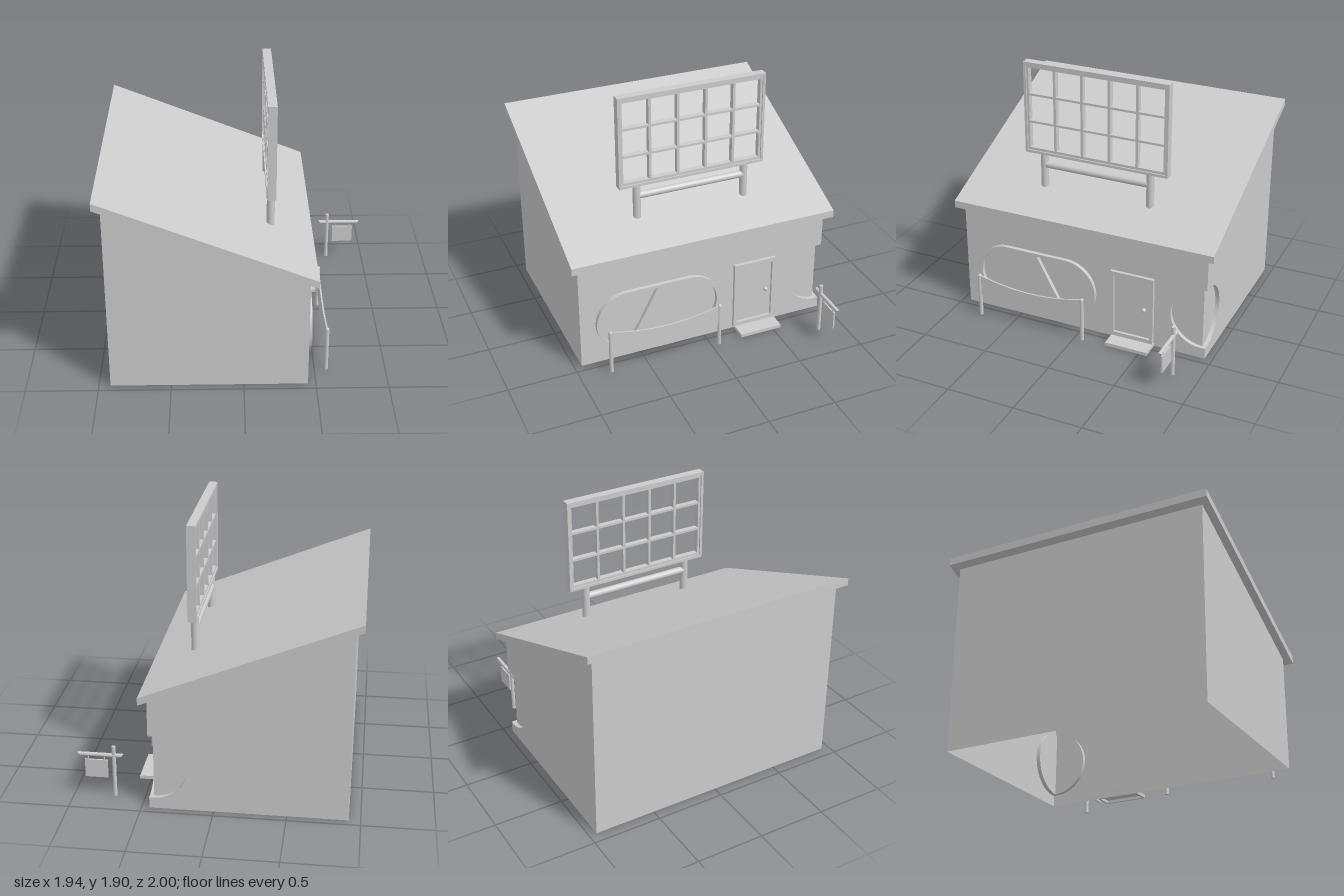
import * as THREE from 'three';
import { toCreasedNormals } from 'three/addons/utils/BufferGeometryUtils.js';

const grey = new THREE.MeshStandardMaterial({ color: 0xcccccc });
const thin = new THREE.MeshStandardMaterial({ color: 0xcccccc, side: THREE.DoubleSide });

function add(parent, name, geometry, x = 0, y = 0, z = 0, material = grey) {
  const mesh = new THREE.Mesh(geometry, material);
  mesh.name = name;
  mesh.position.set(x, y, z);
  parent.add(mesh);
  return mesh;
}

// Box given by its limits on each axis
function block(parent, name, x0, x1, y0, y1, z0, z1) {
  return add(parent, name, new THREE.BoxGeometry(x1 - x0, y1 - y0, z1 - z0),
    (x0 + x1) / 2, (y0 + y1) / 2, (z0 + z1) / 2);
}

function pole(parent, name, x, z, r, y0, y1) {
  return add(parent, name, new THREE.CylinderGeometry(r, r, y1 - y0, 20), x, (y0 + y1) / 2, z);
}

function extrude(shape, depth) {
  const g = new THREE.ExtrudeGeometry(shape, { depth, bevelEnabled: false, curveSegments: 32 });
  return toCreasedNormals(g, 0.5);
}

// Shapes drawn in (-z, y) and turned to face +x
const extrudeSide = (shape, depth) => extrude(shape, depth).rotateY(Math.PI / 2);
const panel = (shape) => new THREE.ShapeGeometry(shape, 32);
const panelSide = (shape) => panel(shape).rotateY(Math.PI / 2);

const polygon = (pts) => new THREE.Shape(pts.map((p) => new THREE.Vector2(p[0], p[1])));

function rect(u0, u1, y0, y1) {
  return polygon([[u0, y0], [u1, y0], [u1, y1], [u0, y1]]);
}

function stadium(cu, cy, half, r) {
  const s = new THREE.Shape();
  s.absarc(cu + half - r, cy, r, -Math.PI / 2, Math.PI / 2, false);
  s.absarc(cu - half + r, cy, r, Math.PI / 2, Math.PI * 1.5, false);
  s.closePath();
  return s;
}

// Half of a stadium, straight on the side towards the mullion
function halfStadium(u, cy, length, r, dir) {
  const s = new THREE.Shape();
  s.moveTo(u, cy - r);
  s.absarc(u + dir * (length - r), cy, r, -Math.PI / 2, dir > 0 ? Math.PI / 2 : -Math.PI * 1.5, dir < 0);
  s.lineTo(u, cy + r);
  s.closePath();
  return s;
}

function framed(outer, ...holes) {
  outer.holes.push(...holes);
  return outer;
}

const winY = 0.315, winR = 0.235;

// Wall outline with a half-round bite at its right-hand edge
function notchedWall(u0, u1, centre, top0, top1) {
  const s = new THREE.Shape();
  s.moveTo(u0, 0);
  s.lineTo(u1, 0);
  s.lineTo(u1, winY - winR);
  s.lineTo(centre, winY - winR);
  s.absarc(centre, winY, winR, -Math.PI / 2, Math.PI / 2, true);
  s.lineTo(u1, winY + winR);
  s.lineTo(u1, top1);
  s.lineTo(u0, top0);
  s.closePath();
  return s;
}

function buildHouse() {
  const g = new THREE.Group();
  g.name = 'house';

  // Hollow shell of thin walls, open underneath
  const gable = polygon([[-0.92, 0], [0.445, 0], [0.445, 0.835], [-0.92, 1.385]]);
  add(g, 'frontWall', panel(gable), 0, 0, 0.945, thin);
  add(g, 'highWall', panelSide(rect(-0.945, 0.945, 0, 1.385)), -0.92, 0, 0, thin);
  add(g, 'entranceWall', panelSide(notchedWall(-0.945, 0.945, 0.915, 0.835, 0.835)), 0.445, 0, 0, thin);
  add(g, 'backWall', panel(notchedWall(-0.92, 0.445, 0.415, 1.385, 0.835)), 0, 0, -0.945, thin);

  // Recessed window wrapping around the corner
  const pane = new THREE.Shape();
  pane.absarc(0, 0, winR, Math.PI / 2, Math.PI * 1.5, false);
  pane.closePath();
  add(g, 'cornerPaneSide', panelSide(pane), 0.415, winY, -0.915, thin);
  add(g, 'cornerPaneBack', panel(pane), 0.415, winY, -0.915, thin);
  const rim = () => new THREE.CylinderGeometry(winR, winR, 0.03, 40, 1, true, 0, Math.PI);
  add(g, 'cornerRimSide', rim().rotateY(-Math.PI / 2).rotateZ(Math.PI / 2), 0.43, winY, -0.915, thin);
  add(g, 'cornerRimBack', rim().rotateX(Math.PI / 2).rotateZ(Math.PI), 0.415, winY, -0.93, thin);
  for (const y of [winY - winR, winY + winR]) {
    add(g, 'cornerLedge', new THREE.PlaneGeometry(0.03, 0.03).rotateX(-Math.PI / 2), 0.43, y, -0.93, thin);
  }

  // Slanted roof slab
  const roof = polygon([[-0.973, 1.393], [0.497, 0.801], [0.497, 0.855], [-0.973, 1.447]]);
  add(g, 'roof', extrude(roof, 2), 0, 0, -1);

  // Oval window with a central mullion
  const oval = framed(stadium(-0.36, winY, 0.47, winR),
    halfStadium(-0.35, winY, 0.437, 0.212, 1), halfStadium(-0.37, winY, 0.437, 0.212, -1));
  add(g, 'ovalWindowFrame', extrudeSide(oval, 0.03), 0.445);

  // Door with frame and knob
  add(g, 'doorFrame',
    extrudeSide(framed(rect(0.23, 0.557, 0.02, 0.55), rect(0.255, 0.532, 0.055, 0.525)), 0.025), 0.445);
  block(g, 'door', 0.444, 0.45, 0.05, 0.53, -0.535, -0.25);
  add(g, 'doorKnob', new THREE.SphereGeometry(0.016, 20, 14), 0.464, 0.288, -0.487);

  // Hollow doorstep
  const stepRim = framed(rect(0.445, 0.585, 0.24, 0.562), rect(0.46, 0.57, 0.255, 0.547));
  add(g, 'doorStepRim', extrude(stepRim, 0.02).rotateX(-Math.PI / 2));
  block(g, 'doorStepTop', 0.445, 0.585, 0.02, 0.025, -0.562, -0.24);
  return g;
}

function buildBillboard() {
  const g = new THREE.Group();
  g.name = 'billboard';
  add(g, 'billboardFrame',
    extrudeSide(framed(rect(-0.547, 0.547, 1.222, 1.905), rect(-0.528, 0.528, 1.241, 1.886)), 0.062), 0.165);
  // Open lattice, set slightly back from the frame
  const holes = [];
  for (let i = 0; i < 5; i++) {
    for (let j = 0; j < 3; j++) {
      const u = (i - 2) * 0.2085, y = 1.355 + j * 0.206;
      holes.push(rect(u - 0.095, u + 0.095, y - 0.095, y + 0.095));
    }
  }
  add(g, 'lattice', extrudeSide(framed(rect(-0.53, 0.53, 1.24, 1.888), ...holes), 0.042), 0.175);

  for (const z of [-0.41, 0.41]) pole(g, 'billboardPost', 0.196, z, 0.028, 0.96, 1.23);
  add(g, 'billboardCrossbar', new THREE.CylinderGeometry(0.026, 0.026, 0.82, 20).rotateX(Math.PI / 2),
    0.196, 1.138, 0);
  return g;
}

function buildBanner() {
  const g = new THREE.Group();
  g.name = 'banner';
  for (const z of [-0.06, 0.77]) {
    add(g, 'bannerPost', new THREE.CapsuleGeometry(0.014, 0.314, 8, 16), 0.583, 0.171, z);
    pole(g, 'bannerPostFoot', 0.583, z, 0.014, 0, 0.02);
  }
  // Cloth sagging between the posts
  const cloth = new THREE.BoxGeometry(0.012, 0.163, 0.83, 1, 1, 24);
  const p = cloth.attributes.position;
  for (let i = 0; i < p.count; i++) {
    const t = p.getZ(i) / 0.415;
    p.setY(i, p.getY(i) - 0.058 * (1 - t * t));
  }
  add(g, 'bannerCloth', toCreasedNormals(cloth, 0.5), 0.583, 0.253, 0.355);
  return g;
}

function buildSignpost() {
  const g = new THREE.Group();
  g.name = 'signpost';
  pole(g, 'signPole', 0.712, -0.81, 0.014, 0, 0.385);
  // Round arm with ends cut at a slant
  const arm = new THREE.CylinderGeometry(0.014, 0.014, 0.3, 24).rotateZ(Math.PI / 2);
  const p = arm.attributes.position;
  for (let i = 0; i < p.count; i++) {
    p.setX(i, p.getX(i) + Math.sign(p.getX(i)) * p.getY(i) * 0.85);
  }
  add(g, 'signArm', toCreasedNormals(arm, 0.6), 0.806, 0.315, -0.81);
  for (const x of [0.78, 0.893]) pole(g, 'signHanger', x, -0.81, 0.005, 0.27, 0.31);
  block(g, 'signBoard', 0.757, 0.917, 0.14, 0.275, -0.816, -0.804);
  return g;
}

export function createModel() {
  const model = new THREE.Group();
  model.name = 'shop';
  model.add(buildHouse(), buildBillboard(), buildBanner(), buildSignpost());
  return model;
}
